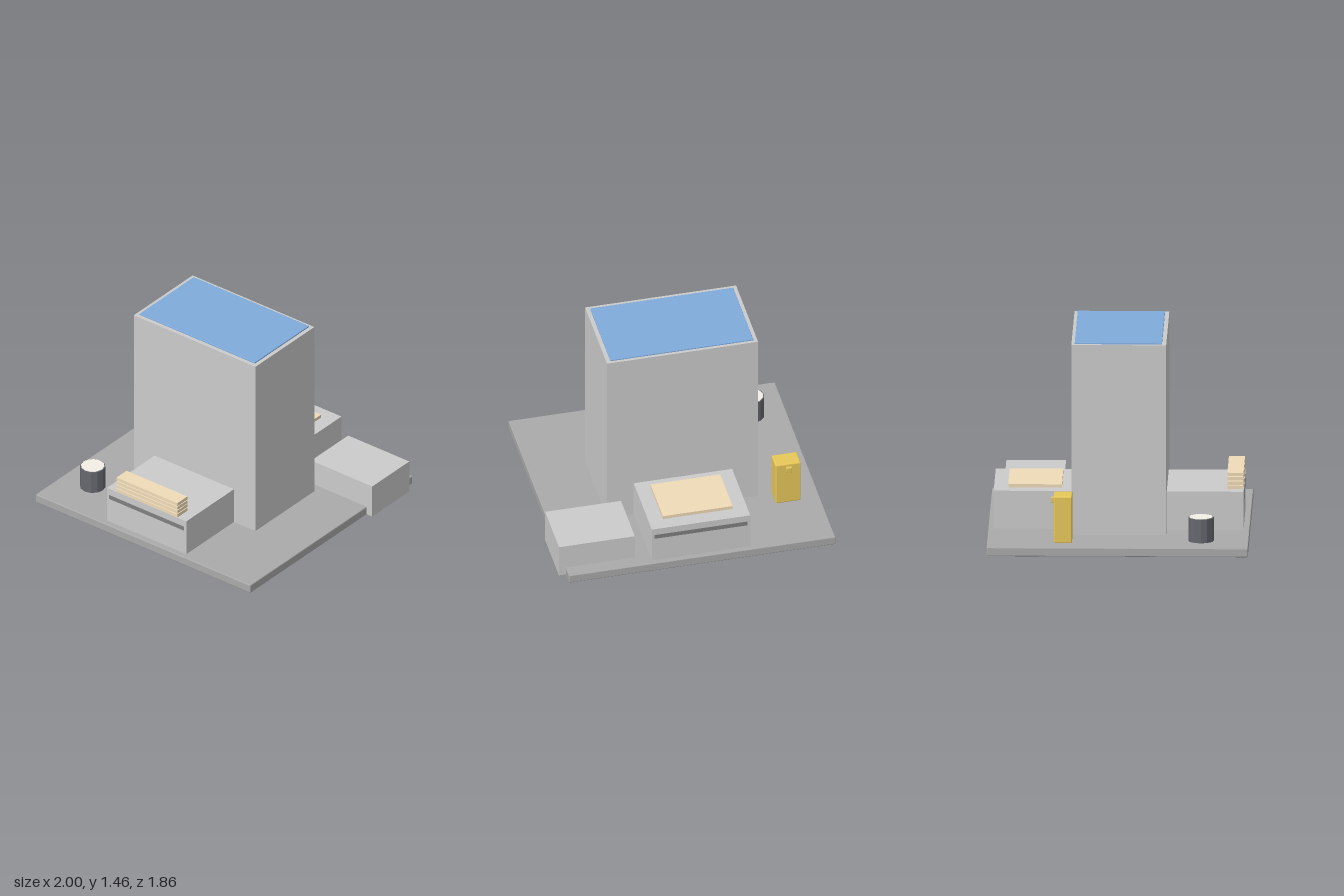
import * as THREE from 'three';
import { RoundedBoxGeometry } from 'three/addons/geometries/RoundedBoxGeometry.js';

const paint = (color) => new THREE.MeshStandardMaterial({ color, flatShading: true });

export function createModel() {
  const model = new THREE.Group();
  model.name = 'buildingModel';
  const grey = paint(0xcccccc);
  const slabGrey = paint(0xaaaaaa);
  const slotGrey = paint(0x808080);
  const tan = paint(0xf0dcb8);
  const blue = paint(0x7fabdc);
  const yellow = paint(0xe8c85a);
  const dark = paint(0x66686f);
  const cream = paint(0xf5f0e6);

  // Box from its minimum and maximum on each axis, optionally with bevelled edges
  function box(name, material, [x0, x1], [y0, y1], [z0, z1], bevel = 0, parent = model) {
    const size = [x1 - x0, y1 - y0, z1 - z0];
    const geometry = bevel
      ? new RoundedBoxGeometry(...size, 1, bevel)
      : new THREE.BoxGeometry(...size);
    const mesh = new THREE.Mesh(geometry, material);
    mesh.name = name;
    mesh.position.set((x0 + x1) / 2, (y0 + y1) / 2, (z0 + z1) / 2);
    parent.add(mesh);
    return mesh;
  }

  // Ground slab and the main blocks
  box('baseSlab', slabGrey, [-1, 0.95], [0.001, 0.066], [-0.93, 0.93], 0.006);
  box('tower', grey, [-0.575, 0.53], [0, 1.45], [-0.335, 0.34]);
  box('roofPanel', blue, [-0.547, 0.5], [1.445, 1.46], [-0.312, 0.31], 0.004);
  box('frontWing', grey, [-0.385, 0.335], [0.05, 0.342], [0.3, 0.887]);
  box('rearWing', grey, [-0.385, 0.335], [0.05, 0.342], [-0.892, -0.3]);
  box('sideAnnex', grey, [0.445, 1], [0.003, 0.256], [-0.83, -0.405]);

  // Slots along the outer faces of both wings
  box('frontSlot', slotGrey, [-0.365, 0.315], [0.257, 0.29], [0.87, 0.8885]);
  box('rearSlot', slotGrey, [-0.365, 0.315], [0.257, 0.29], [-0.8935, -0.875]);

  // Stacked boards on the front wing, a single wide board on the rear wing
  const stack = new THREE.Group();
  stack.name = 'boardStack';
  model.add(stack);
  for (let i = 0; i < 4; i++) {
    const y = 0.342 + i * 0.0315;
    box(`board${i + 1}`, tan, [-0.3, 0.252], [y, y + 0.025], [0.77, 0.885], 0, stack);
  }
  box('rearBoard', tan, [-0.28, 0.23], [0.342, 0.367], [-0.79, -0.408]);

  // Upright cabinet with a small knob on its back
  const cabinet = new THREE.Group();
  cabinet.name = 'cabinet';
  model.add(cabinet);
  box('cabinetBody', yellow, [-0.86, -0.675], [0.066, 0.406], [-0.455, -0.325], 0.008, cabinet);
  box('cabinetKnob', yellow, [-0.79, -0.75], [0.345, 0.385], [-0.477, -0.44], 0.003, cabinet);

  // Round tank with a pale lid
  const tank = new THREE.Group();
  tank.name = 'tank';
  tank.position.set(-0.748, 0, 0.592);
  model.add(tank);
  const drum = (name, material, radius, y0, y1) => {
    const mesh = new THREE.Mesh(new THREE.CylinderGeometry(radius, radius, y1 - y0, 12), material);
    mesh.name = name;
    mesh.position.y = (y0 + y1) / 2;
    tank.add(mesh);
  };
  drum('tankBody', dark, 0.091, 0.06, 0.238);
  drum('tankLid', cream, 0.084, 0.23, 0.242);

  return model;
}
